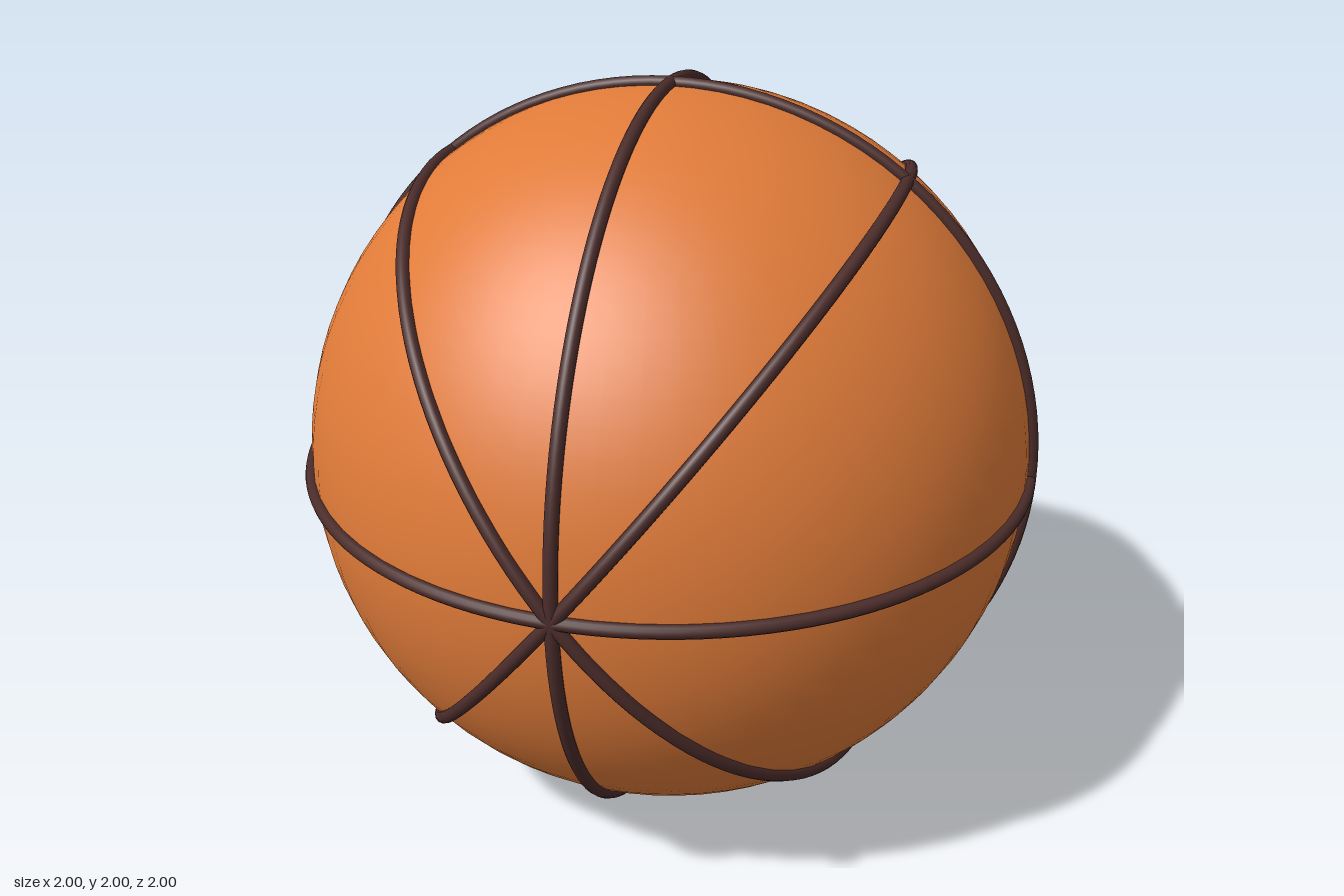
import * as THREE from 'three';

export function createModel() {
  const model = new THREE.Group();
  model.name = 'ball';
  const orange = new THREE.MeshStandardMaterial({ color: 0xe07b39 });
  orange.name = 'orange rubber';
  const brown = new THREE.MeshStandardMaterial({ color: 0x4a2c2a });
  brown.name = 'dark brown seam';

  // Round body
  const body = new THREE.Mesh(new THREE.SphereGeometry(0.978, 64, 48), orange);
  body.name = 'body';
  body.position.y = 1;
  model.add(body);

  // Raised seams: one ring facing the front, four crossing at the front and back
  const seams = new THREE.Group();
  seams.name = 'seams';
  seams.position.y = 1;
  model.add(seams);
  const ring = new THREE.TorusGeometry(0.983, 0.017, 12, 128);
  const addSeam = (name, geometry) => {
    const seam = new THREE.Mesh(geometry, brown);
    seam.name = name;
    seams.add(seam);
  };
  addSeam('middleSeam', ring);
  const angles = { levelSeam: 0, uprightSeam: 90, leftDiagonalSeam: 52, rightDiagonalSeam: -52 };
  for (const [name, degrees] of Object.entries(angles)) {
    addSeam(name, ring.clone().rotateX(Math.PI / 2).rotateZ(THREE.MathUtils.degToRad(degrees)));
  }
  return model;
}
